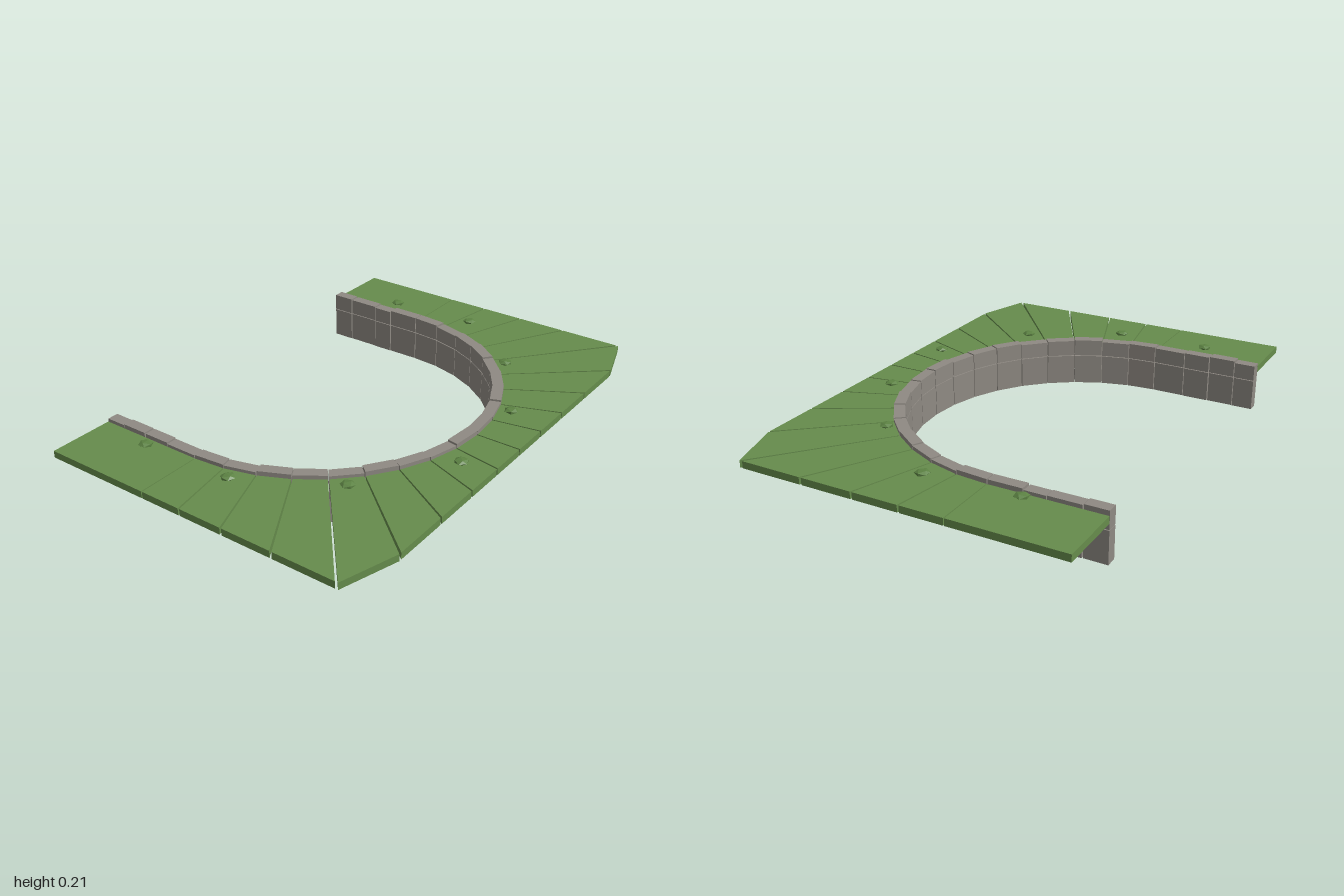
import * as THREE from 'three';

const stone = new THREE.MeshStandardMaterial({ color: 0x8f8a83, flatShading: true });
const grass = new THREE.MeshStandardMaterial({ color: 0x668c4c, flatShading: true });
const leaf = new THREE.MeshStandardMaterial({ color: 0x5c8243, flatShading: true });

const CZ = -0.235;            // centre of the bend in z
const BACK = -0.685;          // back end of the straight arms
const R_IN = 0.692, R_OUT = 0.737;
const STEPS = 18;

// Vertical prism over a plan outline of [x, z] points
function prism(name, outline, y0, y1, material) {
  const shape = new THREE.Shape(outline.map(([x, z]) => new THREE.Vector2(x, -z)));
  const geo = new THREE.ExtrudeGeometry(shape, { depth: y1 - y0, bevelEnabled: false });
  geo.rotateX(-Math.PI / 2);
  geo.translate(0, y0, 0);
  const mesh = new THREE.Mesh(geo, material);
  mesh.name = name;
  return mesh;
}

const polar = (r, a) => [r * Math.cos(a), CZ + r * Math.sin(a)];

// Distance from the bend centre to the rectangular outer border
const border = (a) => Math.min(1 / Math.max(Math.abs(Math.cos(a)), 1e-6), 0.915 / Math.max(Math.sin(a), 1e-6));

const rect = (x0, x1, z0, z1) => [[x0, z0], [x1, z0], [x1, z1], [x0, z1]];

export function createModel() {
  const model = new THREE.Group();
  model.name = 'curvedBank';
  const wall = new THREE.Group();
  wall.name = 'retainingWall';
  const lawn = new THREE.Group();
  lawn.name = 'lawn';
  const tufts = new THREE.Group();
  tufts.name = 'tufts';
  model.add(wall, lawn, tufts);

  // A lower stone and a capping stone, with slightly uneven tops
  let count = 0;
  function stones(outline) {
    const top = 0.2 - 0.003 * ((count * 5) % 3);
    count++;
    wall.add(prism('lowerStone', outline, 0, 0.127, stone));
    wall.add(prism('capStone', outline, 0.13, top, stone));
  }

  // Bend: wedge-shaped stones and lawn panels with narrow joints
  for (let i = 0; i < STEPS; i++) {
    const a0 = (i / STEPS) * Math.PI, a1 = ((i + 1) / STEPS) * Math.PI;
    const s = 0.002, g = 0.0034;
    stones([polar(R_IN, a0 + s), polar(R_OUT, a0 + s), polar(R_OUT, a1 - s), polar(R_IN, a1 - s)]);
    lawn.add(prism('lawnPanel', [
      polar(R_OUT, a0 + g), polar(border(a0 + g), a0 + g),
      polar(border(a1 - g), a1 - g), polar(R_OUT, a1 - g),
    ], 0.154, 0.182, grass));
  }

  // Straight arms: four stones of uneven length and one lawn strip each
  const joints = { 1: [CZ, -0.372, -0.459, -0.592, BACK], '-1': [CZ, -0.373, -0.486, -0.598, BACK] };
  for (const side of [1, -1]) {
    const z = joints[side];
    for (let i = 0; i < 4; i++) {
      const shift = 0.002 * (i % 2);
      const back = i === 3 ? BACK : z[i + 1] + 0.002;
      stones(rect(side * (R_IN - shift), side * (R_OUT - shift), back, z[i] - 0.002));
    }
    lawn.add(prism('lawnStrip', rect(side * R_OUT, side, BACK, CZ - 0.001), 0.154, 0.182, grass));
  }

  // Small flattened tufts scattered along the lawn
  const spots = [
    [-0.79, -0.425], [-0.78, 0.035], [-0.575, 0.33], [-0.22, 0.567],
    [0.203, 0.53], [0.545, 0.31], [0.803, -0.022], [0.785, -0.395],
  ];
  spots[1][1] = -0.035;
  spots.forEach(([x, z], i) => {
    const tuft = new THREE.Mesh(new THREE.IcosahedronGeometry(0.029, 0), leaf);
    tuft.name = 'tuft';
    tuft.scale.y = 0.36;
    tuft.rotation.y = i * 1.3;
    tuft.position.set(x, 0.203, z);
    tufts.add(tuft);
  });
  return model;
}
